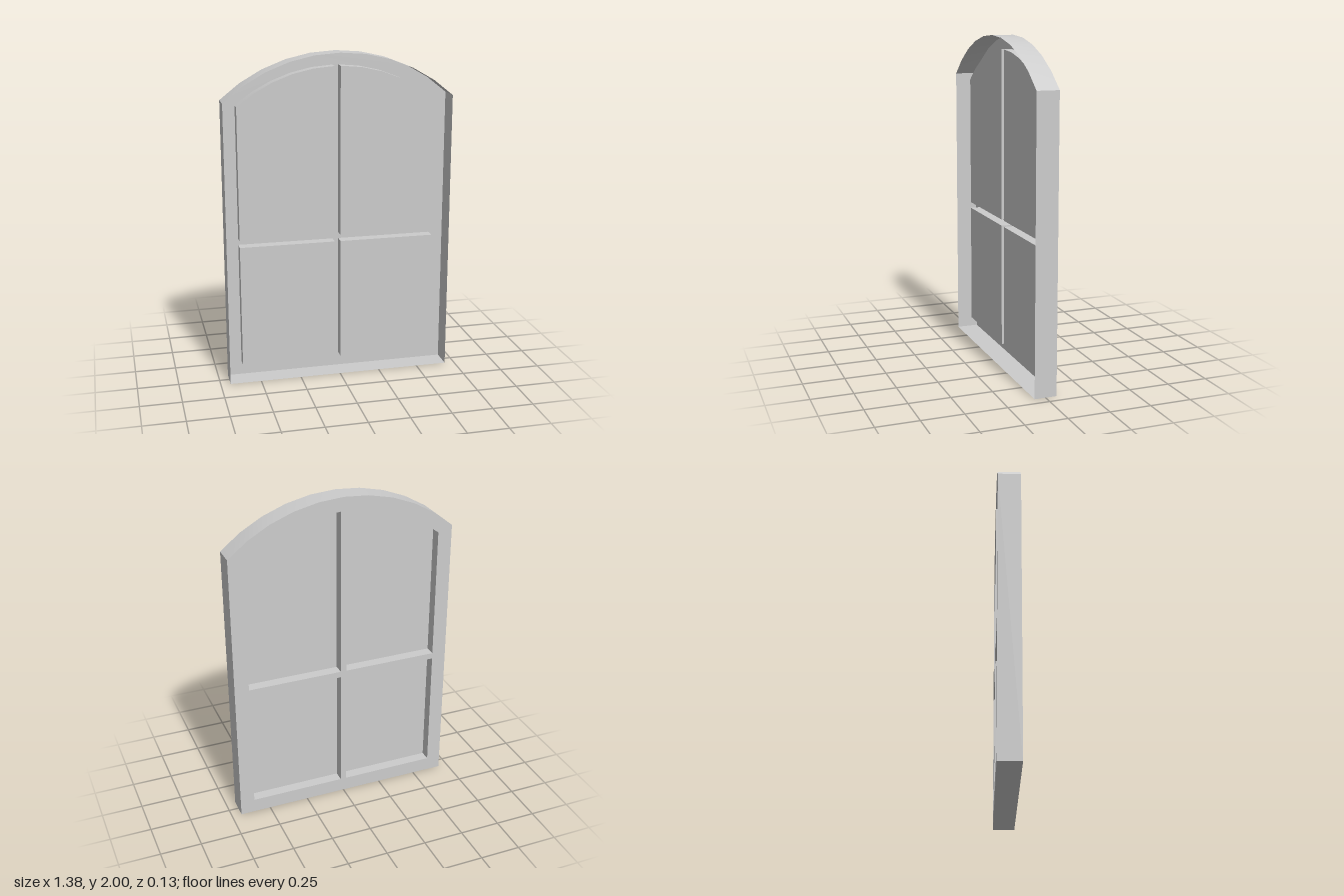
import * as THREE from 'three';
import { toCreasedNormals } from 'three/addons/utils/BufferGeometryUtils.js';

const BACK = -0.067, FRONT = 0.067, PANE_Z = 0;
const ARCH_Y = 0.983; // common centre of the outer and inner arches

// Points along an arch from x0 to x1
function arch(radius, x0, x1, segments) {
  const a0 = Math.asin(x0 / radius), a1 = Math.asin(x1 / radius);
  return Array.from({ length: segments + 1 }, (_, i) => {
    const a = a0 + (a1 - a0) * i / segments;
    return new THREE.Vector2(radius * Math.sin(a), ARCH_Y + radius * Math.cos(a));
  });
}

// Open band that follows a closed counter-clockwise outline from z0 to z1
function band(points, z0, z1, inward) {
  const pos = [];
  points.forEach((p, i) => {
    const q = points[(i + 1) % points.length];
    const [a, b] = inward ? [q, p] : [p, q];
    pos.push(a.x, a.y, z0, b.x, b.y, z0, b.x, b.y, z1);
    pos.push(a.x, a.y, z0, b.x, b.y, z1, a.x, a.y, z1);
  });
  const g = new THREE.BufferGeometry();
  g.setAttribute('position', new THREE.Float32BufferAttribute(pos, 3));
  return toCreasedNormals(g, 0.3);
}

export function createModel() {
  const model = new THREE.Group();
  model.name = 'archedWindow';
  const grey = new THREE.MeshStandardMaterial({ color: 0xcccccc, side: THREE.DoubleSide });
  grey.name = 'plainGrey';
  const add = (name, geometry, z = 0) => {
    const mesh = new THREE.Mesh(geometry, grey);
    mesh.name = name;
    mesh.position.z = z;
    model.add(mesh);
  };
  const v = (x, y) => new THREE.Vector2(x, y);

  // Outlines of the frame and the four openings
  const outer = [v(-0.69, 0), v(0.69, 0), ...arch(1.017, 0.69, -0.69, 10)];
  const lowerLeft = [v(0.018, 0.087), v(0.602, 0.087), v(0.602, 0.846), v(0.018, 0.846)];
  const upperLeft = [v(0.018, 0.884), v(0.602, 0.884), ...arch(0.933, 0.602, 0.018, 5)];
  const mirror = (pts) => pts.map((p) => v(-p.x, p.y)).reverse();
  const openings = {
    lowerLeft, upperLeft, lowerRight: mirror(lowerLeft), upperRight: mirror(upperLeft),
  };

  // Outer rim, open at the front
  add('frameRim', band(outer, BACK, FRONT, false));

  // Back face with the bars left between the openings
  const face = new THREE.Shape(outer);
  face.holes = Object.values(openings).map((pts) => new THREE.Path(pts));
  add('frameBack', new THREE.ShapeGeometry(face).rotateY(Math.PI), BACK);

  // Recess walls and the pane closing each one at mid depth
  for (const [name, pts] of Object.entries(openings)) {
    add(name + 'Recess', band(pts, BACK, PANE_Z, true));
    add(name + 'Pane', new THREE.ShapeGeometry(new THREE.Shape(pts)), PANE_Z);
  }
  return model;
}
